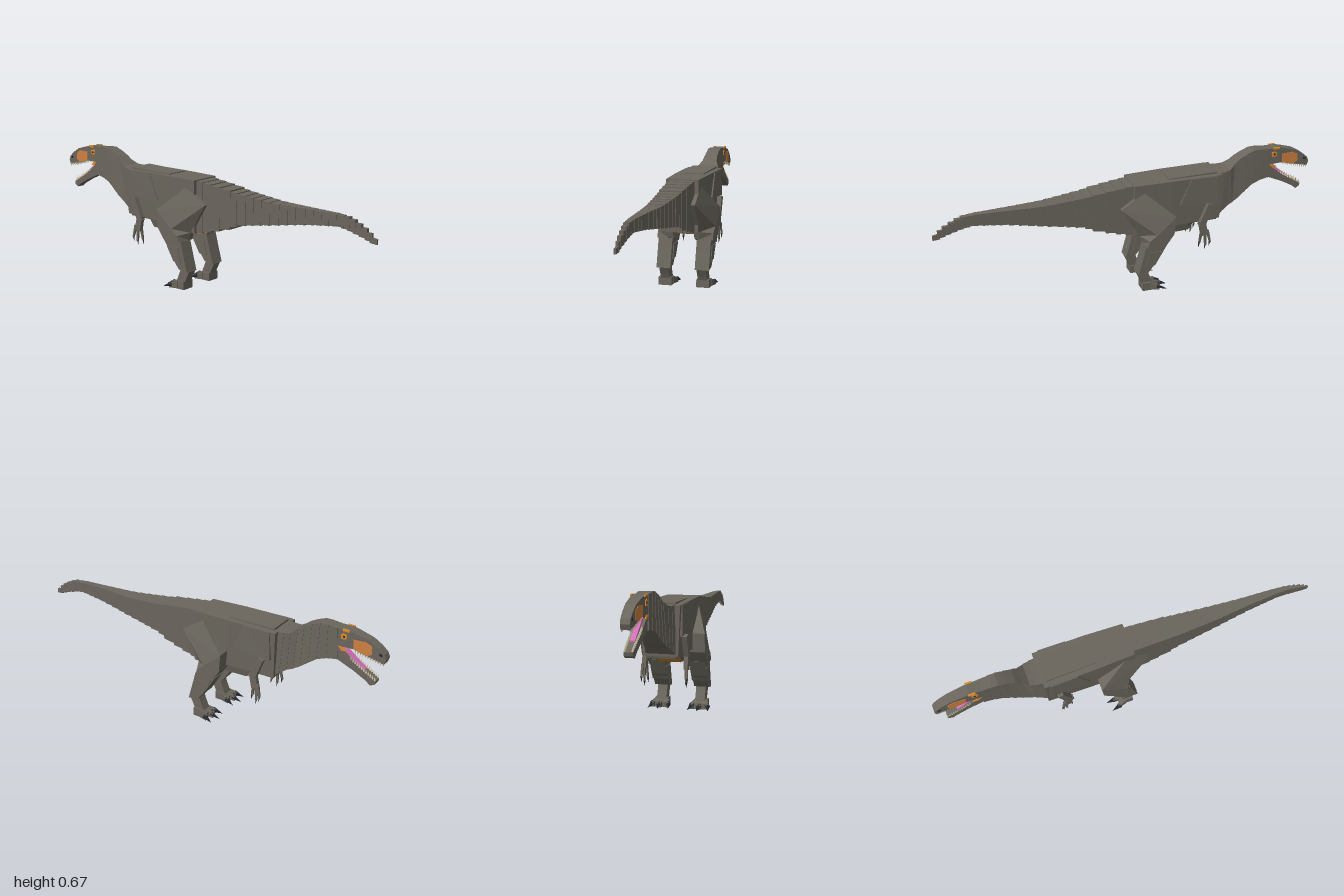
import * as THREE from 'three';

const mat = (name, color) => {
  const m = new THREE.MeshStandardMaterial({ color, flatShading: true });
  m.name = name;
  return m;
};

export function createModel() {
  const root = new THREE.Group();
  root.name = 'dinosaur';
  const hide = mat('hide grey', 0x6a665d);
  const belly = mat('belly ochre', 0xb87c28);
  const orange = mat('face orange', 0xce8040);
  const amber = mat('eye amber', 0xda8a2e);
  const claw = mat('claw black', 0x26292e);
  const pink = mat('mouth pink', 0xd070b8);
  const ivory = mat('tooth ivory', 0xd2cba8);

  const add = (name, geo, m, parent = root) => {
    const mesh = new THREE.Mesh(geo, m);
    mesh.name = name;
    parent.add(mesh);
    return mesh;
  };

  // Closed skin over cross-sections of equal point count; winding is made outward
  const loft = (rings) => {
    const tris = [];
    const n = rings[0].length;
    for (let i = 0; i < rings.length - 1; i++) {
      for (let j = 0; j < n; j++) {
        const k = (j + 1) % n, a = rings[i], b = rings[i + 1];
        tris.push([a[j], a[k], b[k]], [a[j], b[k], b[j]]);
      }
    }
    const first = rings[0], last = rings[rings.length - 1];
    for (let j = 1; j < n - 1; j++) {
      tris.push([first[0], first[j + 1], first[j]], [last[0], last[j], last[j + 1]]);
    }
    let volume = 0;
    for (const t of tris) {
      const [a, b, c] = t.map((p) => new THREE.Vector3(...p));
      volume += a.dot(b.cross(c));
    }
    const pos = tris.flatMap((t) => (volume < 0 ? [t[0], t[2], t[1]] : t)).flat();
    const g = new THREE.BufferGeometry();
    g.setAttribute('position', new THREE.Float32BufferAttribute(pos, 3));
    g.computeVertexNormals();
    return g;
  };

  // Four-cornered section from its top and bottom points (z, y) and half widths
  const ring = (zt, yt, zb, yb, wt, wb = wt) => [[-wt, yt, zt], [wt, yt, zt], [wb, yb, zb], [-wb, yb, zb]];

  // Side outline (z, y) between two x values; x may be scaled along z
  const slab = (pts, x0, x1, width = () => 1) => {
    const shape = new THREE.Shape(pts.map((p) => new THREE.Vector2(...p)));
    const g = new THREE.ExtrudeGeometry(shape, { depth: x1 - x0, bevelEnabled: false });
    g.rotateY(-Math.PI / 2).translate(x1, 0, 0);
    const p = g.attributes.position;
    for (let i = 0; i < p.count; i++) p.setX(i, p.getX(i) * width(p.getZ(i)));
    g.computeVertexNormals();
    return g;
  };

  // Four-sided spike between two points
  const spike = (from, to, r) => {
    const a = new THREE.Vector3(...from), b = new THREE.Vector3(...to);
    const d = b.clone().sub(a);
    const g = new THREE.ConeGeometry(r, d.length(), 4);
    g.applyQuaternion(new THREE.Quaternion().setFromUnitVectors(new THREE.Vector3(0, 1, 0), d.normalize()));
    const c = a.add(b).multiplyScalar(0.5);
    return g.translate(c.x, c.y, c.z);
  };

  // Torso, back plates, chest and belly
  add('torso', loft([
    ring(0.0, 0.57, 0.0, 0.3, 0.086, 0.084),
    ring(-0.2, 0.575, -0.2, 0.325, 0.094, 0.088),
    ring(-0.47, 0.578, -0.465, 0.335, 0.096, 0.085),
  ]), hide);
  add('backPlate', loft([ring(-0.19, 0.579, -0.19, 0.56, 0.062), ring(-0.45, 0.588, -0.45, 0.56, 0.068)]), hide);
  add('shoulderPlate', loft([
    ring(-0.3, 0.574, -0.24, 0.44, 0.099), ring(-0.44, 0.576, -0.45, 0.43, 0.101),
  ]), hide);
  add('chestLip', loft([ring(-0.32, 0.36, -0.32, 0.32, 0.08, 0.07), ring(-0.465, 0.36, -0.455, 0.322, 0.08, 0.07)]), hide);
  add('bellyBase', loft([
    ring(0.0, 0.36, 0.0, 0.292, 0.084, 0.08),
    ring(-0.17, 0.36, -0.17, 0.276, 0.085, 0.064),
    ring(-0.3, 0.36, -0.3, 0.281, 0.083, 0.064),
    ring(-0.33, 0.36, -0.33, 0.322, 0.08, 0.064),
  ]), hide);
  add('bellyPlate', loft([
    ring(0.14, 0.338, 0.14, 0.331, 0.054),
    ring(0.0, 0.297, 0.0, 0.288, 0.054),
    ring(-0.17, 0.28, -0.17, 0.273, 0.056),
    ring(-0.3, 0.285, -0.3, 0.278, 0.056),
    ring(-0.335, 0.325, -0.335, 0.318, 0.056),
    ring(-0.43, 0.325, -0.43, 0.318, 0.056),
  ]), belly);

  // Tail of stepped blocks: z, bottom, top, half width
  const tailKeys = [
    [0, 0.295, 0.565, 0.066], [0.15, 0.335, 0.545, 0.061], [0.25, 0.372, 0.528, 0.055],
    [0.45, 0.402, 0.507, 0.04], [0.62, 0.428, 0.504, 0.025], [0.8, 0.445, 0.5, 0.015],
    [0.86, 0.432, 0.486, 0.012], [0.93, 0.41, 0.452, 0.009], [1, 0.382, 0.402, 0.004],
  ];
  const tailAt = (z) => {
    const i = Math.max(1, tailKeys.findIndex((k) => k[0] >= z - 1e-6));
    const a = tailKeys[i - 1], b = tailKeys[i], t = (z - a[0]) / (b[0] - a[0]);
    return a.map((v, j) => v + (b[j] - v) * t);
  };
  const tailZ = [0, 0.04, 0.09, 0.145, 0.21, 0.25, 0.3, 0.345, 0.39, 0.44, 0.49, 0.535, 0.58, 0.63, 0.675,
    0.715, 0.755, 0.795, 0.83, 0.86, 0.89, 0.92, 0.95, 0.975, 1];
  for (let i = 0; i < tailZ.length - 1; i++) {
    const a = tailAt(tailZ[i]), b = tailAt(tailZ[i + 1]);
    // Each block ends square, a little larger than the start of the next
    const end = b.map((v, j) => v + (a[j] - v) * 0.6);
    const barb = i > 17 && i < 23 ? 0.006 : 0;
    add('tailSegment', loft([
      ring(a[0] - 0.012, a[2], a[0] - 0.012, a[1], a[3]),
      ring(b[0], end[2] + barb, b[0], end[1], end[3]),
    ]), hide);
  }

  // Neck blocks with a narrower crest than throat
  const neck = [
    [-0.44, 0.577, -0.44, 0.33, 0.072, 0.08], [-0.5, 0.578, -0.485, 0.36, 0.064, 0.066],
    [-0.53, 0.582, -0.52, 0.384, 0.056, 0.058], [-0.56, 0.603, -0.55, 0.397, 0.04, 0.052],
    [-0.59, 0.627, -0.585, 0.418, 0.036, 0.047], [-0.63, 0.648, -0.625, 0.448, 0.034, 0.042],
    [-0.67, 0.664, -0.665, 0.477, 0.033, 0.037], [-0.71, 0.665, -0.71, 0.494, 0.031, 0.033],
    [-0.755, 0.661, -0.765, 0.505, 0.029, 0.03],
  ];
  for (let i = 0; i < neck.length - 1; i++) {
    const end = neck[i + 1].map((v, j) => (j > 3 ? v + 0.002 : v));
    add('neckSegment', loft([ring(...neck[i]), ring(...end)]), hide);
  }

  // Skull and jaw, narrowing to the snout
  const headWidth = (z) => 0.031 + 0.034 * Math.min(0, z + 0.72);
  add('skull', slab([
    [-0.7, 0.666], [-0.75, 0.661], [-0.81, 0.664], [-0.86, 0.653], [-0.916, 0.638], [-0.96, 0.613], [-0.99, 0.588],
    [-1, 0.565], [-0.992, 0.54], [-0.96, 0.547], [-0.9, 0.561], [-0.84, 0.576], [-0.79, 0.575], [-0.74, 0.52], [-0.7, 0.52],
  ], -1, 1, headWidth), hide);
  add('lowerJaw', slab([
    [-0.72, 0.58], [-0.78, 0.557], [-0.86, 0.498], [-0.96, 0.442], [-0.956, 0.425], [-0.935, 0.414],
    [-0.91, 0.434], [-0.85, 0.466], [-0.77, 0.5], [-0.72, 0.503],
  ], -0.9, 0.9, headWidth), hide);
  add('tongue', slab([[-0.76, 0.575], [-0.8, 0.558], [-0.87, 0.503], [-0.9, 0.482], [-0.9, 0.468], [-0.77, 0.535]],
    -0.45, 0.45, headWidth), pink);

  for (const s of [-1, 1]) {
    const face = new THREE.Group();
    face.name = s > 0 ? 'leftFace' : 'rightFace';
    root.add(face);
    // Painted cheek, mouth corner, eye and nostril
    const plate = (name, pts, m, out = 1.08) =>
      add(name, slab(pts, s > 0 ? 0.9 : -out, s > 0 ? out : -0.9, headWidth), m, face);
    plate('cheekPatch', [[-0.838, 0.625], [-0.9, 0.628], [-0.928, 0.615], [-0.932, 0.575], [-0.91, 0.562], [-0.842, 0.577]], orange);
    plate('mouthCorner', [[-0.765, 0.575], [-0.785, 0.575], [-0.81, 0.558], [-0.785, 0.553]], amber);
    plate('eyePatch', [[-0.775, 0.636], [-0.788, 0.645], [-0.806, 0.638], [-0.805, 0.617], [-0.78, 0.614]], amber, 1.12);
    plate('pupil', [[-0.788, 0.633], [-0.797, 0.633], [-0.797, 0.624], [-0.788, 0.624]], claw, 1.18);
    plate('nostril', [[-0.968, 0.592], [-0.982, 0.585], [-0.98, 0.575], [-0.966, 0.58]], claw, 1.1);
    add('brow', new THREE.BoxGeometry(0.009, 0.01, 0.035).translate(s * 0.03, 0.661, -0.8), amber, face);

    // Teeth along both jaws
    for (let i = 0; i < 12; i++) {
      const t = i / 11;
      const zu = -0.85 - 0.138 * t, yu = 0.573 - 0.031 * t;
      const xu = s * headWidth(zu) * 0.86;
      add('upperTooth', spike([xu, yu + 0.004, zu], [xu, yu - 0.016, zu], 0.0055), ivory, face);
      const zl = -0.83 - 0.124 * t, yl = 0.519 - 0.071 * t;
      const xl = s * headWidth(zl) * 0.76;
      add('lowerTooth', spike([xl, yl - 0.004, zl], [xl, yl + 0.016, zl], 0.0055), ivory, face);
    }

    // Leg: slanted thigh, knee, calf, ankle and foot
    const leg = new THREE.Group();
    leg.name = s > 0 ? 'leftLeg' : 'rightLeg';
    root.add(leg);
    const limb = (name, pts, a, b, m = hide, parent = leg) =>
      add(name, slab(pts, s > 0 ? a : -b, s > 0 ? b : -a), m, parent);
    const thigh = [[0.07, 0.45, 0.086], [-0.05, 0.53, 0.086], [-0.2, 0.405, 0.152], [-0.1, 0.315, 0.152]];
    add('thigh', loft([
      thigh.map(([z, y]) => [s * 0.055, y, z]), thigh.map(([z, y, x]) => [s * x, y, z]),
    ]), hide, leg);
    const front = [[-0.2, 0.405], [-0.192, 0.31], [-0.13, 0.225]];
    const section = (x, pts) => pts.map(([z, y]) => [s * x, y, z]);
    add('knee', loft([
      section(0.056, [[0.066, 0.446], [-0.05, 0.5], ...front, [-0.036, 0.255], [-0.026, 0.295]]),
      section(0.084, [[0.066, 0.446], [-0.05, 0.5], ...front, [-0.036, 0.255], [-0.026, 0.295]]),
      section(0.151, [[-0.1, 0.316], [-0.13, 0.342], ...front, [-0.05, 0.25], [-0.06, 0.285]]),
    ]), hide, leg);
    limb('calf', [[-0.045, 0.258], [-0.16, 0.258], [-0.11, 0.175], [-0.058, 0.108], [-0.002, 0.098], [-0.03, 0.2]], 0.066, 0.142);
    limb('calfMuscle', [[-0.06, 0.22], [-0.135, 0.22], [-0.09, 0.145], [-0.04, 0.14]], 0.061, 0.146);
    limb('ankle', [[0, 0.1], [-0.055, 0.115], [-0.065, 0.085], [-0.086, 0.035], [-0.03, 0.035], [-0.02, 0.06]], 0.076, 0.126);
    limb('foot', [[-0.028, 0], [-0.028, 0.043], [-0.075, 0.043], [-0.105, 0.028], [-0.105, 0]], 0.068, 0.138);
    for (const k of [-1, 0, 1]) {
      const x = s * (0.103 + k * 0.027), dx = s * k * 0.014, len = k === 0 ? 0.016 : 0;
      add('toe', loft([
        [[x - 0.011, 0.038, -0.07], [x + 0.011, 0.038, -0.07], [x + 0.011, 0.002, -0.07], [x - 0.011, 0.002, -0.07]],
        [[x + dx - 0.009, 0.028, -0.115 - len], [x + dx + 0.009, 0.028, -0.115 - len],
          [x + dx + 0.009, 0.002, -0.115 - len], [x + dx - 0.009, 0.002, -0.115 - len]],
      ]), hide, leg);
      add('toeClaw', spike([x + dx, 0.02, -0.102 - len], [x + dx * 1.9, 0.004, -0.153 - len], 0.015), claw, leg);
    }

    // Small arm with three clawed fingers
    const arm = new THREE.Group();
    arm.name = s > 0 ? 'leftArm' : 'rightArm';
    root.add(arm);
    limb('upperArm', [[-0.39, 0.434], [-0.418, 0.423], [-0.38, 0.32], [-0.34, 0.318]], 0.09, 0.115, hide, arm);
    limb('forearm', [[-0.342, 0.335], [-0.38, 0.33], [-0.395, 0.262], [-0.358, 0.255]], 0.092, 0.113, hide, arm);
    for (const [z, y, x] of [[-0.354, 0.207, 0.094], [-0.384, 0.196, 0.103], [-0.406, 0.218, 0.112]]) {
      const base = [s * (x + 0.103) / 2, 0.285, (z - 0.374) / 2];
      add('finger', loft([
        [[-1, -1], [1, -1], [1, 1], [-1, 1]].map(([i, j]) => [base[0] + i * 0.006, base[1], base[2] + j * 0.008]),
        [[-1, -1], [1, -1], [1, 1], [-1, 1]].map(([i, j]) => [s * x + i * 0.004, y, z + j * 0.005]),
      ]), hide, arm);
      add('fingerClaw', spike([s * x, y + 0.004, z], [s * x, y - 0.026, z + 0.006], 0.006), claw, arm);
    }
  }
  return root;
}
